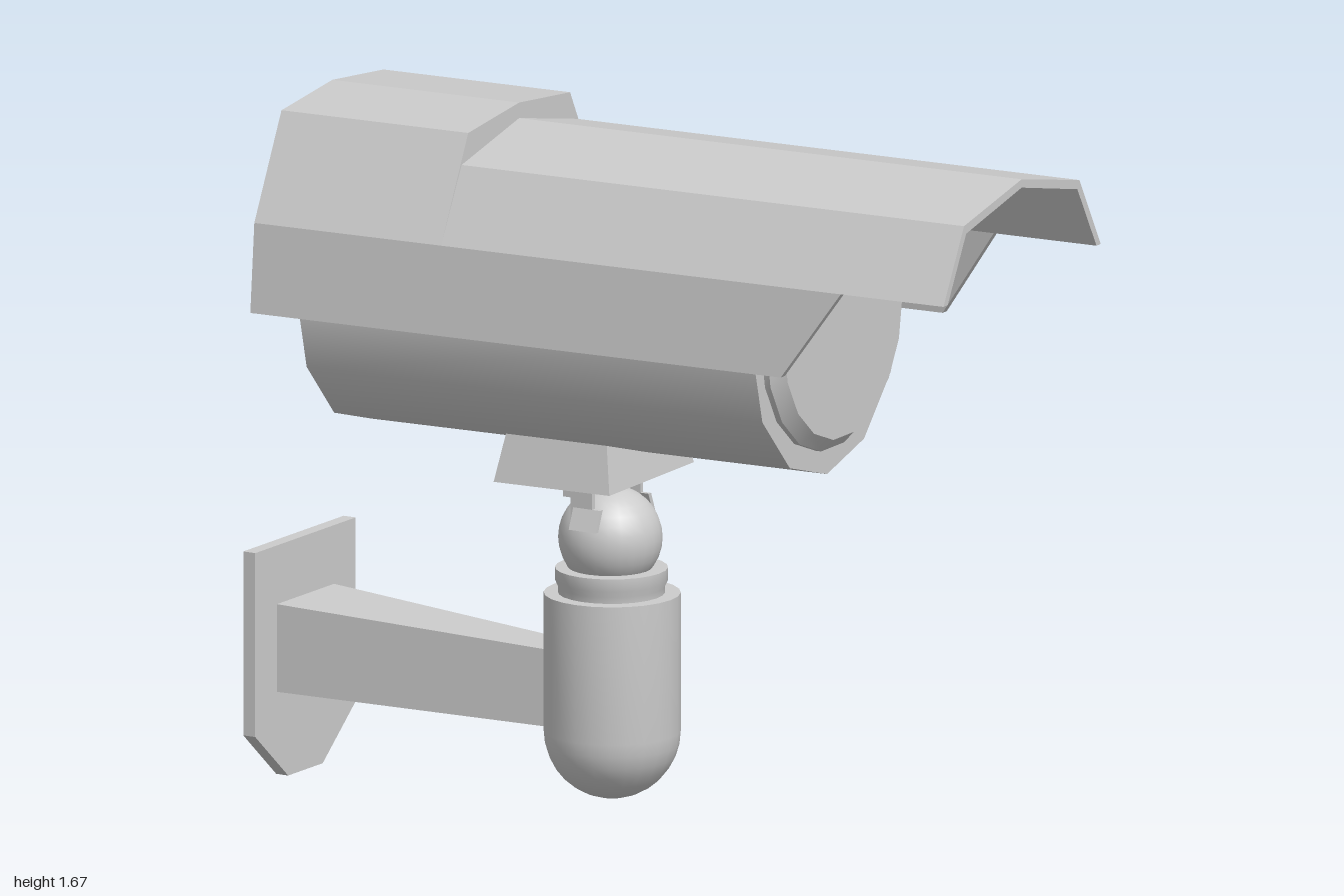
import * as THREE from 'three';
import { toCreasedNormals } from 'three/addons/utils/BufferGeometryUtils.js';

const material = new THREE.MeshStandardMaterial({ color: 0xcccccc });

function add(parent, name, geometry, x = 0, y = 0, z = 0) {
  const mesh = new THREE.Mesh(geometry, material);
  mesh.name = name;
  mesh.position.set(x, y, z);
  parent.add(mesh);
  return mesh;
}

// Lathe with sharp edges where the profile bends strongly
function turned(points, sides, crease = 0.6) {
  const profile = points.map(([r, y]) => new THREE.Vector2(r, y));
  return toCreasedNormals(new THREE.LatheGeometry(profile, sides), crease);
}

// Box whose vertices are moved by a rule
function shapedBox(rule) {
  const geo = new THREE.BoxGeometry(2, 2, 2);
  const p = geo.attributes.position;
  for (let i = 0; i < p.count; i++) p.setXYZ(i, ...rule(p.getX(i), p.getY(i), p.getZ(i)));
  const flat = geo.toNonIndexed();
  flat.computeVertexNormals();
  return flat;
}

// Flat plate outlined in z and y, extruded along x
function plateGeometry(outline, depth) {
  const shape = new THREE.Shape(outline.map(([z, y]) => new THREE.Vector2(z, y)));
  return new THREE.ExtrudeGeometry(shape, { depth, bevelEnabled: false }).rotateY(Math.PI / 2);
}

// Half profile [z, y] from lower edge to ridge, mirrored into a full arch
function arch(half) {
  return [...half, ...half.slice(0, -1).reverse().map(([z, y]) => [-z, y])];
}

const LOW = [0.393, 1.194], SIDE = [0.372, 1.405];
const ROOF = [[0.273, 1.578], [0, 1.635]];
const HUMP = [[0.241, 1.648], [0, 1.672]];

// Sunshield: thin arch lofted along x with a raised rear and cut-away front corners
function shieldGeometry() {
  const t = 0.02;
  const stations = [
    [-0.70, LOW, HUMP], [-0.22, LOW, HUMP], [-0.22, LOW, ROOF],
    [0.70, LOW, ROOF], [0.85, SIDE, ROOF], [1.125, SIDE, ROOF],
  ];
  const rings = stations.map(([x, low, roof]) => {
    const outer = arch([low, SIDE, ...roof]);
    const inner = arch([
      [low[0] - t, low[1]], [SIDE[0] - t, SIDE[1]],
      [ROOF[0][0] - 0.01, ROOF[0][1] - t], [0, ROOF[1][1] - t],
    ]).reverse();
    return [...outer, ...inner].map(([z, y]) => [x, y, z]);
  });
  const out = [];
  const quad = (a, b, c, d) => out.push(...a, ...b, ...c, ...a, ...c, ...d);
  const n = rings[0].length;
  for (let i = 0; i + 1 < rings.length; i++) {
    for (let j = 0; j < n; j++) {
      const k = (j + 1) % n;
      quad(rings[i][j], rings[i + 1][j], rings[i + 1][k], rings[i][k]);
    }
  }
  // Front rim
  const rim = rings[rings.length - 1];
  for (let j = 0; j + 1 < n / 2; j++) quad(rim[j], rim[n - 1 - j], rim[n - 2 - j], rim[j + 1]);
  const geo = new THREE.BufferGeometry();
  geo.setAttribute('position', new THREE.Float32BufferAttribute(out, 3));
  geo.computeVertexNormals();
  return geo;
}

function createHead() {
  // Slightly turned and tilted about its pivot
  const pivot = new THREE.Group();
  pivot.name = 'cameraHead';
  pivot.position.set(-0.15, 1.22, -0.004);
  pivot.rotation.set(0, 0.0515, 0.0055);
  const head = new THREE.Group();
  head.name = 'headParts';
  head.position.y = -1.22;
  pivot.add(head);

  add(head, 'sunshield', shieldGeometry());
  add(head, 'sunshieldBack', plateGeometry(arch([LOW, SIDE, ...HUMP]), 0.02), -0.72);

  // Twelve-sided housing with its axis along x
  const housing = turned([[0, -0.62], [0.37, -0.62], [0.37, 0.6], [0, 0.6]], 12);
  housing.rotateZ(-Math.PI / 2).scale(1, 1, 0.95);
  add(head, 'housing', housing, 0, 1.243);

  // Bevelled lens bezel and window
  const bezel = turned([[0.31, 0.59], [0.31, 0.615], [0.28, 0.645], [0, 0.645]], 18, 0.45);
  bezel.rotateZ(-Math.PI / 2);
  add(head, 'lensWindow', bezel, 0, 1.245);

  // Tapered mounting block under the housing
  add(head, 'mountBlock', shapedBox((x, y, z) => [
    -0.025 + x * (y > 0 ? 0.13 : 0.155),
    y > 0 ? 0.95 : 0.81,
    z * (y > 0 ? 0.17 : 0.2),
  ]));
  return pivot;
}

export function createModel() {
  const model = new THREE.Group();
  model.name = 'securityCamera';
  model.add(createHead());

  // Bracket tabs either side of the ball
  for (const s of [1, -1]) {
    const tab = new THREE.Group();
    tab.name = s > 0 ? 'leftBracketTab' : 'rightBracketTab';
    add(tab, 'tabTop', new THREE.BoxGeometry(0.07, 0.045, 0.012), -0.15, 0.795, s * 0.105);
    add(tab, 'tabPlate', new THREE.BoxGeometry(0.06, 0.09, 0.012), -0.135, 0.765, s * 0.105);
    add(tab, 'tabFoot', shapedBox((x, y, z) => [
      -0.12 + x * 0.037,
      0.725 + y * 0.025,
      s * (y > 0 ? 0.105 : 0.125) + z * 0.006,
    ]));
    model.add(tab);
  }

  // Ball joint, collar and round-bottomed post
  add(model, 'ballJoint', new THREE.SphereGeometry(0.122, 24, 16), -0.125, 0.662);
  add(model, 'collar', turned(
    [[0.125, 0.52], [0.125, 0.545], [0.132, 0.56], [0.132, 0.59], [0, 0.59]], 24), -0.122);
  const post = [];
  for (let i = 0; i <= 8; i++) {
    const a = (i / 8) * Math.PI / 2;
    post.push([0.16 * Math.sin(a), 0.2 - 0.16 * Math.cos(a)]);
  }
  post.push([0.16, 0.53], [0, 0.53]);
  add(model, 'post', turned(post, 24), -0.12);

  // Tapered wall arm
  add(model, 'wallArm', shapedBox((x, y, z) => {
    const inner = x > 0;
    return [
      inner ? -0.2 : -0.975,
      y > 0 ? (inner ? 0.382 : 0.42) : (inner ? 0.2 : 0.21),
      z * (inner ? 0.05 : 0.125),
    ];
  }));

  // Wall plate with cut lower corners
  add(model, 'wallPlate', plateGeometry([
    [-0.218, 0.56], [-0.218, 0.12], [-0.075, 0], [0.075, 0], [0.218, 0.12], [0.218, 0.56],
  ], 0.033), -1);
  return model;
}
